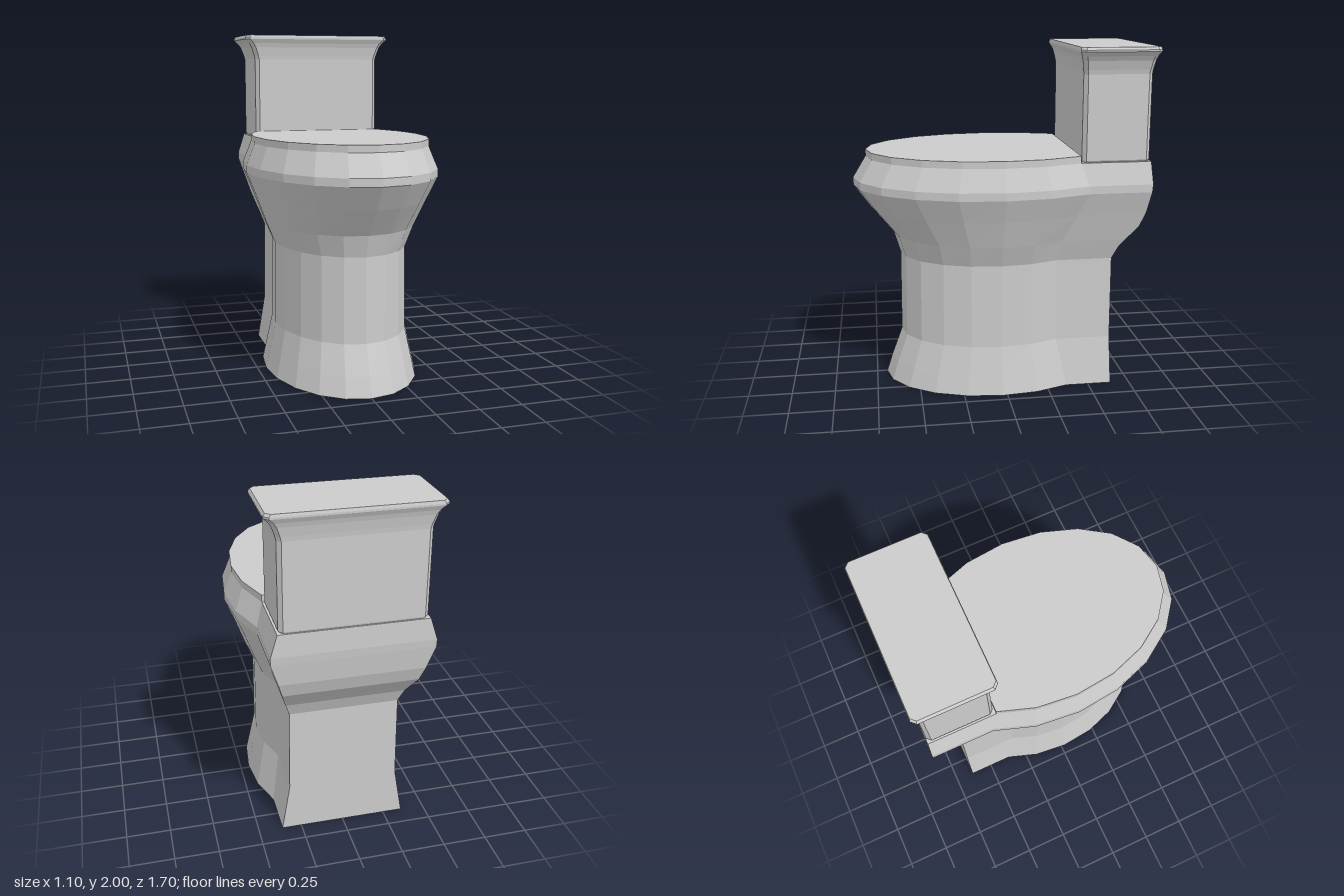
import * as THREE from 'three';

const material = new THREE.MeshStandardMaterial({ color: 0xcccccc, flatShading: true });

// Closed solid through convex rings, listed bottom to top, each counter-clockwise from above
function loft(name, rings) {
  const n = rings[0].length;
  const index = [];
  for (let r = 0; r < rings.length - 1; r++) {
    for (let i = 0; i < n; i++) {
      const a = r * n + i, b = r * n + (i + 1) % n;
      index.push(a, b, b + n, a, b + n, a + n);
    }
  }
  const top = (rings.length - 1) * n;
  for (let i = 1; i < n - 1; i++) {
    index.push(0, i + 1, i);
    index.push(top, top + i, top + i + 1);
  }
  const geometry = new THREE.BufferGeometry();
  geometry.setAttribute('position', new THREE.Float32BufferAttribute(rings.flat(2), 3));
  geometry.setIndex(index);
  const flat = geometry.toNonIndexed();
  flat.computeVertexNormals();
  const mesh = new THREE.Mesh(flat, material);
  mesh.name = name;
  return mesh;
}

// Linear lookup in rows of [y, value, ...]
function sample(rows, y, column) {
  for (let i = 1; i < rows.length; i++) {
    const p = rows[i - 1], q = rows[i];
    if (y <= q[0]) return THREE.MathUtils.lerp(p[column], q[column], (y - p[0]) / (q[0] - p[0]));
  }
  return rows[rows.length - 1][column];
}

// Bowl profile: height, half width, front reach
const BOWL = [
  [0, 0.448, 0.69], [0.11, 0.425, 0.655], [0.28, 0.39, 0.592], [0.77, 0.385, 0.587],
  [0.895, 0.437, 0.625], [1.055, 0.495, 0.755], [1.19, 0.55, 0.853], [1.235, 0.55, 0.853],
  [1.36, 0.502, 0.777], [1.4, 0.502, 0.777],
];
const CENTRE = 0.025;
const STEP = Math.PI / 10;

// Point of the twenty-sided oval, k steps round from the front
function ovalPoint(y, k) {
  const a = sample(BOWL, y, 1), b = sample(BOWL, y, 2) - CENTRE;
  return [a * Math.sin(k * STEP), y, CENTRE + b * Math.cos(k * STEP)];
}

// Rear pedestal profile: height, back face position
const REAR = [
  [0, -0.638], [0.11, -0.637], [0.28, -0.635], [0.77, -0.635], [0.85, -0.67], [0.895, -0.707],
  [0.975, -0.775], [1.06, -0.806], [1.19, -0.824], [1.235, -0.828], [1.36, -0.822],
];

// Tank profile: height, scale of its cross-section
const TANK = [
  [1.355, 0.975], [1.37, 1], [1.85, 1], [1.875, 1.015], [1.925, 1.06],
  [1.95, 1.1], [1.975, 1.165], [1.985, 1.165], [2, 1.14],
];

export function createModel() {
  const model = new THREE.Group();
  model.name = 'toilet';

  // Oval bowl with its closed lid, cut off flat where the rear pedestal begins
  model.add(loft('bowl', BOWL.map(([y]) =>
    Array.from({ length: 15 }, (_, i) => ovalPoint(y, i - 7)))));

  // Rear pedestal carries the cut edge of the bowl straight back
  model.add(loft('rearPedestal', REAR.map(([y, back]) => {
    const [w, , front] = ovalPoint(y, 7);
    return [[-w, y, back], [-w, y, front], [w, y, front], [w, y, back]];
  })));

  // Tank with chamfered corners flaring out to its lid
  const w = 0.397, d = 0.195, c = 0.022, zMid = -0.622;
  const section = [
    [-w + c, -d], [-w, -d + c], [-w, d - c], [-w + c, d],
    [w - c, d], [w, d - c], [w, -d + c], [w - c, -d],
  ];
  model.add(loft('tank', TANK.map(([y, s]) =>
    section.map(([x, z]) => [x * s, y, zMid + z * s]))));

  return model;
}
